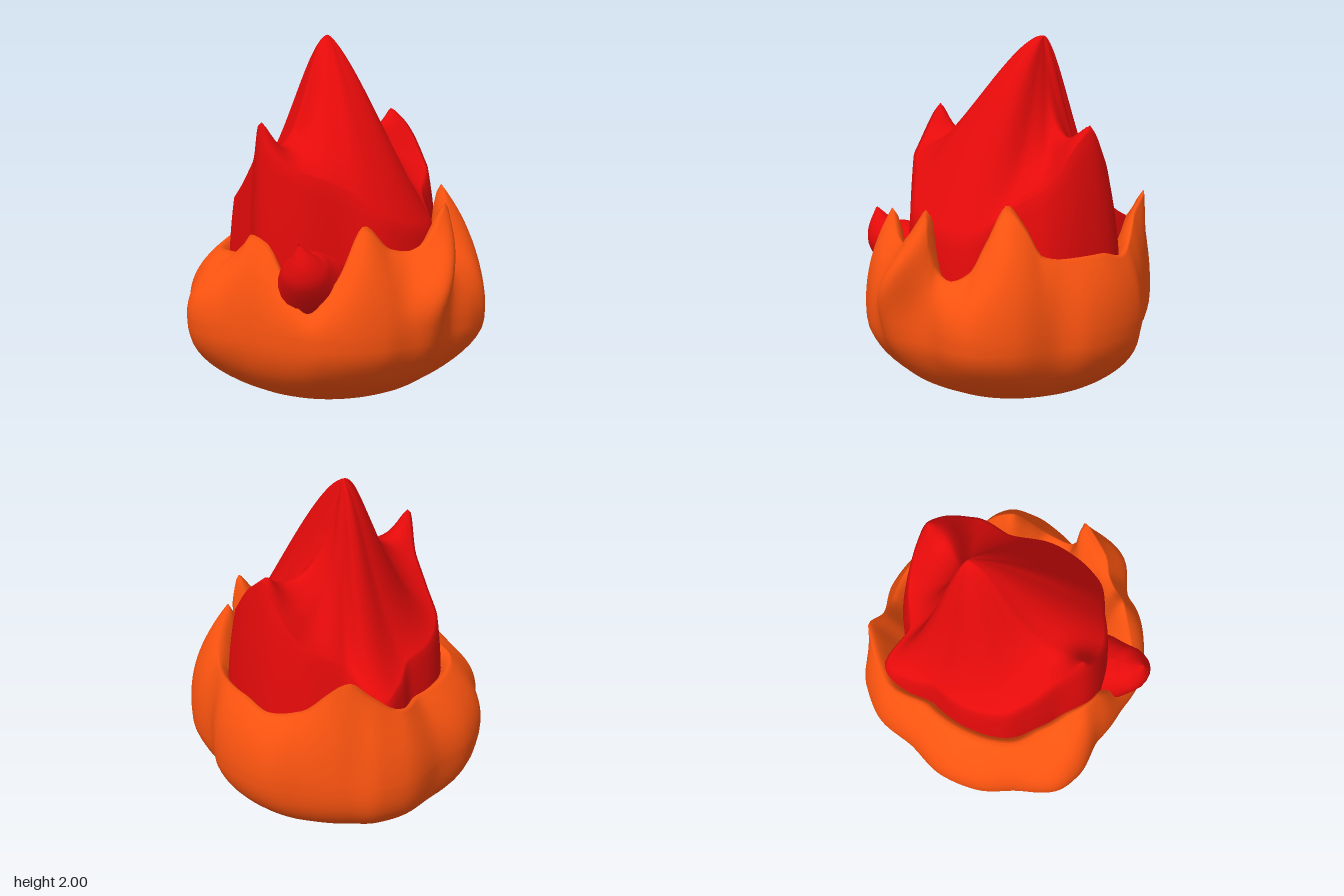
import * as THREE from 'three';

const RAD = Math.PI / 180;
const N = 180; // steps around
const gauss = (d, w) => Math.exp(-(d * d) / (w * w));
const wrap = (d) => ((d + 540) % 360) - 180;

// Smooth closed curve through [degrees, value, ...] knots, sampled at column c
function around(knots, deg, c = 1) {
  const n = knots.length;
  const at = (i) => {
    const turns = Math.floor(i / n);
    const k = knots[i - turns * n];
    return [k[0] + 360 * turns, k[c]];
  };
  let d = deg;
  while (d < knots[0][0]) d += 360;
  while (d >= knots[0][0] + 360) d -= 360;
  let i = 0;
  while (at(i + 1)[0] <= d) i++;
  const [p, q, r, s] = [at(i - 1), at(i), at(i + 1), at(i + 2)];
  const w = r[0] - q[0], t = (d - q[0]) / w;
  const slope = (r[1] - q[1]) / w;
  // flat tangents at peaks and dips, otherwise the gentler mean
  const tangent = (a, b) => (a * b <= 0 ? 0 : (2 * a * b) / (a + b));
  const m0 = tangent((q[1] - p[1]) / (q[0] - p[0]), slope) * w;
  const m1 = tangent(slope, (s[1] - r[1]) / (s[0] - r[0])) * w;
  const t2 = t * t, t3 = t2 * t;
  return (2 * t3 - 3 * t2 + 1) * q[1] + (t3 - 2 * t2 + t) * m0 + (3 * t2 - 2 * t3) * r[1] + (t3 - t2) * m1;
}

// Surface from closed rings, listed from the bottom outward and up
function loft(rows, point) {
  const pos = [], idx = [];
  for (let i = 0; i <= rows; i++) {
    for (let j = 0; j < N; j++) pos.push(...point(i, -180 + (360 * j) / N));
  }
  for (let i = 0; i < rows; i++) {
    for (let j = 0; j < N; j++) {
      const k = (j + 1) % N;
      const a = i * N + j, b = i * N + k, c = a + N, d = b + N;
      idx.push(a, b, d, a, d, c);
    }
  }
  const g = new THREE.BufferGeometry();
  g.setAttribute('position', new THREE.Float32BufferAttribute(pos, 3));
  g.setIndex(idx);
  g.computeVertexNormals();
  return g;
}

// Outer bowl: widest radius by angle (0 = front, 90 = +x)
const BOWL = [
  [-163, 0.85], [-148, 0.855], [-134, 0.835], [-117, 0.88], [-107, 0.845], [-90, 0.74], [-76, 0.74],
  [-55, 0.79], [-31, 0.78], [-18, 0.75], [-9, 0.76], [8, 0.72], [22, 0.79], [32, 0.83], [47, 0.81],
  [66, 0.735], [79, 0.785], [90, 0.8], [108, 0.81], [121, 0.78], [140, 0.81], [150, 0.88], [160, 0.88], [180, 0.815],
];
// Rim: angle, radius, height
const RIM = [
  [-165, 0.65, 0.86], [-135, 0.66, 0.84], [-117, 0.61, 0.85], [-105, 0.61, 0.92], [-95, 0.635, 0.99], [-85, 0.64, 0.96],
  [-75, 0.66, 0.8], [-62, 0.74, 0.63], [-50, 0.69, 0.8], [-37, 0.63, 1.07], [-24, 0.63, 0.94], [-15, 0.64, 0.92],
  [-7, 0.67, 0.98], [2, 0.67, 1.15], [7, 0.67, 1.02], [11, 0.66, 0.83], [18, 0.66, 0.78], [27, 0.65, 0.83],
  [34, 0.62, 0.98], [45, 0.58, 1.18], [53, 0.62, 1.08], [61, 0.66, 0.92], [70, 0.67, 0.9], [90, 0.69, 0.9],
  [105, 0.71, 0.86], [120, 0.7, 0.9], [132, 0.72, 1.03], [140, 0.79, 1.13], [148, 0.78, 1.04], [160, 0.77, 0.92], [180, 0.65, 0.87],
];

function bowlPoint(i, deg) {
  const LOW = 18, UP = 20;
  const R = around(BOWL, deg), rim = around(RIM, deg, 1), h = around(RIM, deg, 2);
  let r, y, t = 1;
  if (i <= LOW) {
    // rounded underside, evening out towards the base
    const p = (i / LOW) * Math.PI / 2, s = Math.sin(p);
    r = THREE.MathUtils.lerp(0.77, R, s ** 4) * s ** 0.85;
    y = 0.5 * (1 - Math.max(0, Math.cos(p)) ** 0.85);
    t = 0;
  } else if (i <= LOW + UP) {
    // wall up to the tips
    t = (i - LOW) / UP;
    y = 0.5 + (h - 0.5) * t;
    r = R + (rim - R) * t ** 2.2;
  } else {
    // lip and inner wall
    const k = (i - LOW - UP) / 6;
    y = h + (0.5 - h) * k ** 1.5;
    r = rim - 0.035 * Math.min(1, k * 4) + (0.5 - rim) * k * k;
    t = 1 - k;
  }
  // curled ridge on the front tongue
  const ridge = -10 + 14 * THREE.MathUtils.smoothstep(y, 0.55, 1.1);
  if (i <= LOW + UP) r += 0.1 * gauss(wrap(deg - ridge), 9) * gauss(y - 0.75, 0.27);
  const lean = 0.06 * gauss(wrap(deg - 1), 9) * THREE.MathUtils.smoothstep(y, 0.8, 1.15);
  const back = -0.08 * Math.max(0, 1 - y / 0.4);
  return [r * Math.sin(deg * RAD) + lean, y, r * Math.cos(deg * RAD) + back];
}

// Inner flame: angle, outline radius, shoulder height, then spread and power of the fall from the apex
const FLAME = [
  [-160, 0.62, 1.06, 0.58, 1.8], [-140, 0.62, 1.1, 0.55, 1.8], [-124, 0.585, 1.2, 0.5, 1.9], [-109, 0.57, 1.32, 0.46, 2.1],
  [-90, 0.63, 1.41, 0.42, 2.2], [-72, 0.6, 1.34, 0.55, 1.9], [-45, 0.54, 1.23, 1, 1.6], [-20, 0.58, 1.06, 2.5, 1.4],
  [0, 0.58, 1.0, 3, 1.4], [20, 0.59, 0.98, 2, 1.35], [45, 0.53, 1.12, 0.75, 1.2], [66, 0.63, 1.26, 0.34, 1.1],
  [88, 0.645, 1.45, 0.21, 1.1], [107, 0.67, 1.33, 0.27, 1.15], [118, 0.66, 1.22, 0.35, 1.3], [140, 0.62, 1.08, 0.52, 1.6],
  [154, 0.81, 0.95, 0.5, 1.7], [166, 0.71, 0.97, 0.57, 1.8], [180, 0.61, 1.04, 0.6, 1.8],
];
const APEX = [0.12, 2.0, -0.18];
const HORNS = [[-0.565, -0.05, 0.18], [0.555, -0.07, 0.14]];

function flamePoint(i, deg) {
  const SKIRT = 10, TOP = 40;
  const [E, ye, spread, power] = [1, 2, 3, 4].map((c) => around(FLAME, deg, c));
  const k = Math.min(1, i / SKIRT);
  const u = i <= SKIRT ? 1 : (1 - (i - SKIRT) / TOP) ** 1.2;
  // the wall leans inward, a little more on the +x side
  const edge = E * (1 - (0.06 + 0.05 * Math.max(0, Math.sin(deg * RAD))) * k ** 2.5);
  const x = APEX[0] + (edge * Math.sin(deg * RAD) - APEX[0]) * u;
  const z = APEX[2] + (edge * Math.cos(deg * RAD) - APEX[2]) * u;
  const fall = (v) => 1 - Math.exp(-((v / spread) ** power));
  let top = APEX[1] - (APEX[1] - ye) * fall(u) / fall(1);
  for (const [hx, hz, hh] of HORNS) top += hh * Math.exp(-((Math.hypot(x - hx, z - hz) / 0.08) ** 1.4));
  return [x, 0.45 + (top - 0.45) * k, z];
}

// Tapered tongue: a tube whose rings shrink along its path
function tongue(points, radii) {
  const path = new THREE.CatmullRomCurve3(points.map((q) => new THREE.Vector3(...q)));
  const steps = 24, sides = 20;
  const g = new THREE.TubeGeometry(path, steps, 1, sides);
  const pos = g.attributes.position, v = new THREE.Vector3();
  for (let i = 0; i <= steps; i++) {
    const f = (i / steps) * (radii.length - 1), a = Math.min(Math.floor(f), radii.length - 2);
    const r = THREE.MathUtils.lerp(radii[a], radii[a + 1], f - a);
    const centre = path.getPointAt(i / steps);
    for (let j = 0; j <= sides; j++) {
      const n = i * (sides + 1) + j;
      v.fromBufferAttribute(pos, n).sub(centre).multiplyScalar(r).add(centre);
      pos.setXYZ(n, v.x, v.y, v.z);
    }
  }
  g.computeVertexNormals();
  return g;
}

export function createModel() {
  const group = new THREE.Group();
  const orange = new THREE.MeshStandardMaterial({ color: 0xff5510, side: THREE.DoubleSide });
  const red = new THREE.MeshStandardMaterial({ color: 0xe50a0a, side: THREE.DoubleSide });
  const add = (name, geometry, material) => {
    const mesh = new THREE.Mesh(geometry, material);
    mesh.name = name;
    group.add(mesh);
  };
  add('outerFlame', loft(44, bowlPoint), orange);
  add('innerFlame', loft(50, flamePoint), red);
  // small side tongue in the dip of the rim
  add('sideTongue', tongue(
    [[-0.42, 0.7, 0.2], [-0.56, 0.78, 0.28], [-0.65, 0.87, 0.33], [-0.7, 1.0, 0.34]],
    [0.22, 0.18, 0.12, 0.005]), red);
  return group;
}
